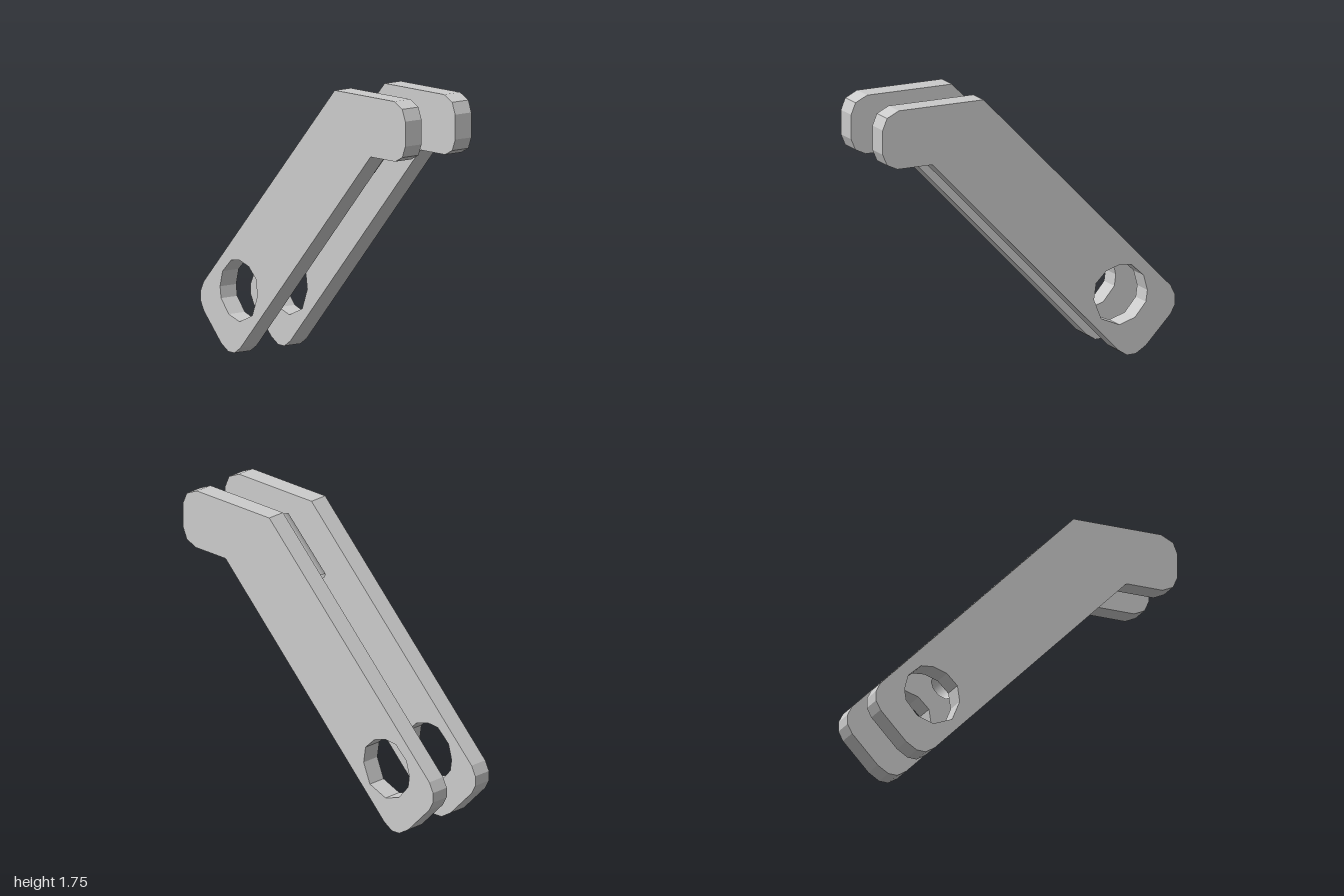
import * as THREE from 'three';

const toVectors = (pairs) => pairs.map(([x, y]) => new THREE.Vector2(x, y));

// Cranked side plate with clipped corners and a round pivot hole
function plateGeometry(thickness) {
  const outline = new THREE.Shape(toVectors([
    [-0.73, 0], [-0.67, 0], [-0.61, 0.04], [0.66, 1.377],
    [0.9, 1.385], [0.97, 1.42], [1, 1.49], [1, 1.64], [0.97, 1.71], [0.89, 1.745],
    [0.31, 1.725], [-0.97, 0.385], [-1, 0.325], [-1, 0.265], [-0.97, 0.21], [-0.8, 0.04],
  ]));
  outline.holes.push(new THREE.Path(toVectors([
    [-0.445, 0.375], [-0.495, 0.25], [-0.62, 0.195], [-0.725, 0.225], [-0.8, 0.31],
    [-0.81, 0.38], [-0.785, 0.475], [-0.7, 0.555], [-0.62, 0.565], [-0.53, 0.54], [-0.46, 0.475],
  ])));
  return new THREE.ExtrudeGeometry(outline, { depth: thickness, bevelEnabled: false });
}

// Open tube running between two points in the middle plane
function tubeBetween(name, from, to, radius, material) {
  const a = new THREE.Vector2(...from), b = new THREE.Vector2(...to);
  const geometry = new THREE.CylinderGeometry(radius, radius, a.distanceTo(b), 10, 1, true, Math.PI / 2);
  const mesh = new THREE.Mesh(geometry, material);
  mesh.name = name;
  mesh.position.set((a.x + b.x) / 2, (a.y + b.y) / 2, 0);
  mesh.rotation.z = b.sub(a).angle() - Math.PI / 2;
  return mesh;
}

export function createModel() {
  const model = new THREE.Group();
  model.name = 'linkArm';
  const plateMaterial = new THREE.MeshStandardMaterial({ color: 0xcccccc });
  const tubeMaterial = new THREE.MeshStandardMaterial({ color: 0xcccccc, side: THREE.DoubleSide });

  // Two matching plates, front and back
  const geometry = plateGeometry(0.12);
  for (const [name, z] of [['frontPlate', 0.125], ['backPlate', -0.245]]) {
    const plate = new THREE.Mesh(geometry, plateMaterial);
    plate.name = name;
    plate.position.z = z;
    model.add(plate);
  }

  // Piston between the plates: wide sleeve above, narrow rod below
  model.add(tubeBetween('pistonSleeve', [0.217, 1.257], [0.515, 1.565], 0.119, tubeMaterial));
  model.add(tubeBetween('pistonRod', [-0.438, 0.572], [0.227, 1.267], 0.083, tubeMaterial));
  return model;
}
